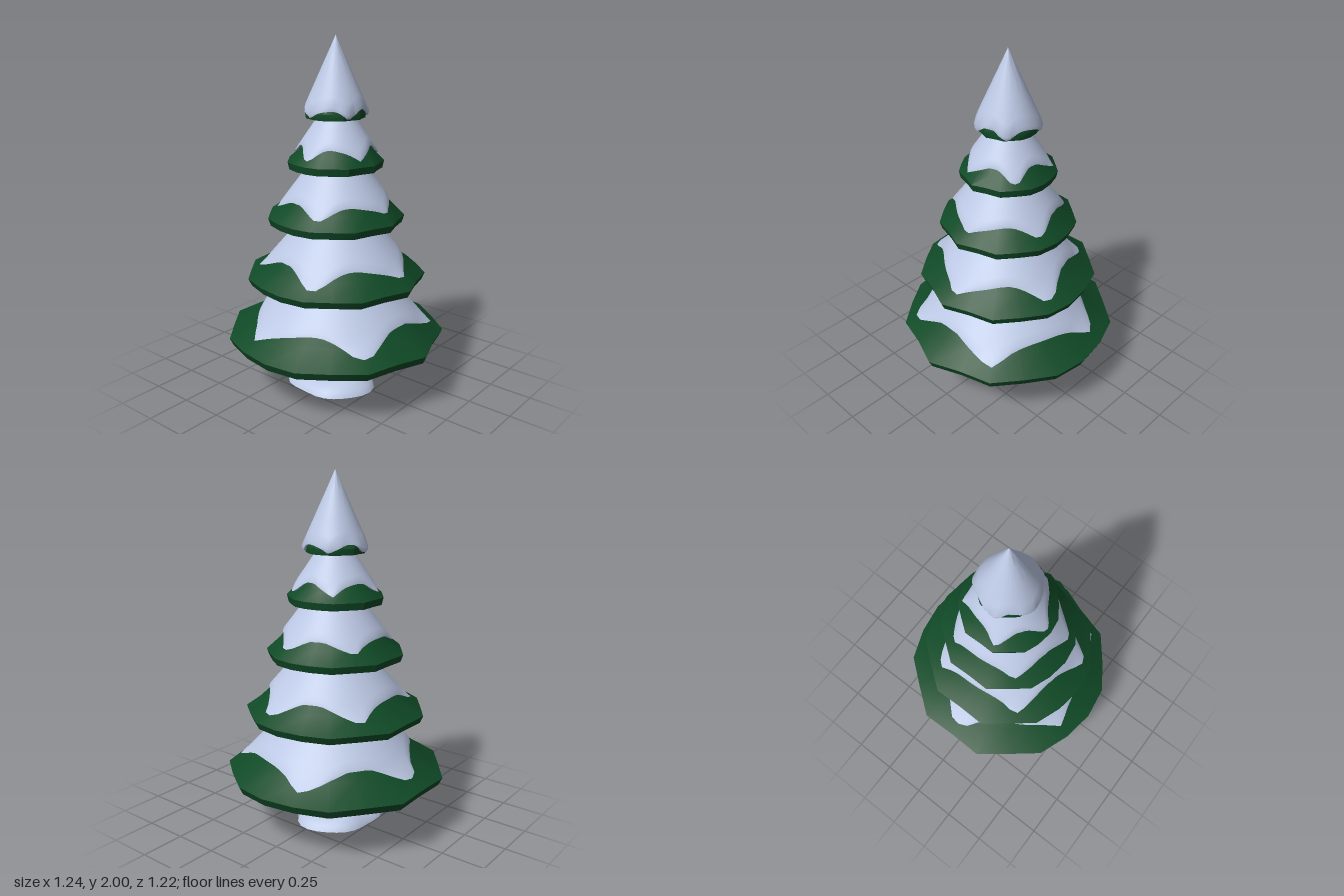
import * as THREE from 'three';
import { toCreasedNormals } from 'three/addons/utils/BufferGeometryUtils.js';

const { lerp, clamp, degToRad } = THREE.MathUtils;

const green = new THREE.MeshStandardMaterial({ name: 'needle green', color: 0x104a27 });
const snow = new THREE.MeshStandardMaterial({ name: 'snow', color: 0xbcc8e4, side: THREE.DoubleSide });
const bark = new THREE.MeshStandardMaterial({ name: 'bark brown', color: 0x4a2810 });
const darkBark = new THREE.MeshStandardMaterial({ name: 'dark bark', color: 0x2a0e08 });

// Skin a stack of rings, bottom to top; ring(angle, index) gives [radius, y]
function loft(ringCount, segments, ring, crease) {
  const pos = [], index = [];
  for (let i = 0; i < ringCount; i++) {
    for (let j = 0; j < segments; j++) {
      const a = (j / segments) * Math.PI * 2;
      const [r, y] = ring(a, i);
      pos.push(Math.cos(a) * r, y, Math.sin(a) * r);
      if (i === ringCount - 1) continue;
      const k = i * segments + j, n = i * segments + (j + 1) % segments;
      index.push(k, k + segments, n, n, k + segments, n + segments);
    }
  }
  const geo = new THREE.BufferGeometry();
  geo.setAttribute('position', new THREE.Float32BufferAttribute(pos, 3));
  geo.setIndex(index);
  return toCreasedNormals(geo, crease);
}

function add(parent, name, geo, material) {
  const mesh = new THREE.Mesh(geo, material);
  mesh.name = name;
  parent.add(mesh);
  return mesh;
}

// Irregular brim outline, every 18 degrees over half a turn, mirrored front to back
const outline = [1.01, 0.94, 1.0, 0.965, 1.005, 1.0, 1.0, 1.035, 1.0, 1.06, 1.0];
function brimFactor(a) {
  const s = (((a / (Math.PI * 2)) % 1 + 1) % 1) * 20;
  const at = (i) => outline[i % 20 > 10 ? 20 - (i % 20) : i % 20];
  return lerp(at(Math.floor(s)), at(Math.floor(s) + 1), s - Math.floor(s));
}

// rim, knee and top are [radius, y]; dip and peak bound the snow edge height
const tiers = [
  { x: -0.005, bottom: 0.285, rim: [0.612, 0.33], knee: [0.47, 0.42], top: [0.235, 0.67], dip: 0.38, peak: 0.46, phase: 180 },
  { x: -0.005, bottom: 0.64, rim: [0.498, 0.68], knee: [0.385, 0.76], top: [0.18, 1.0], dip: 0.725, peak: 0.8, phase: 68 },
  { x: -0.01, bottom: 0.98, rim: [0.378, 1.02], knee: [0.3, 1.09], top: [0.135, 1.31], dip: 1.07, peak: 1.125, phase: 68 },
  { x: -0.015, bottom: 1.29, rim: [0.264, 1.33], knee: [0.21, 1.385], top: [0.07, 1.59], dip: 1.36, peak: 1.42, phase: 90 },
  { x: -0.018, bottom: 1.565, rim: [0.166, 1.6], knee: [0.148, 1.64], top: [0.002, 1.97], dip: 1.575, peak: 1.62, phase: 100 },
];

// Radius of a tier's upper slope at angle a and height y
function slope(t, a, y) {
  if (y < t.knee[1]) {
    const v = clamp((y - t.rim[1]) / (t.knee[1] - t.rim[1]), 0, 1);
    return lerp(t.rim[0] * brimFactor(a), t.knee[0], v);
  }
  return lerp(t.knee[0], t.top[0], clamp((y - t.knee[1]) / (t.top[1] - t.knee[1]), 0, 1));
}

function buildTier(t, last) {
  const group = new THREE.Group();
  group.name = 'branchTier';
  group.position.x = t.x;

  // Green skirt: flat underside, slanted brim, then the slope
  add(group, 'branches', loft(5, 20, (a, i) => [
    [0.001, t.bottom + 0.01],
    [t.rim[0] * brimFactor(a) * 0.965, t.bottom],
    [t.rim[0] * brimFactor(a), t.rim[1]],
    t.knee,
    t.top,
  ][i], 0.6), green);

  // Snow cap: scalloped edge with pointed drips and a tucked-under lip
  const rings = 10, topY = last ? 2 : t.top[1];
  add(group, 'snowCap', loft(rings, 60, (a, i) => {
    const drip = 1 - Math.abs(Math.sin(2.5 * (a - degToRad(t.phase))));
    const wobble = 0.1 * Math.sin(a * 7 + t.phase);
    const edge = lerp(t.peak, t.dip, clamp(drip * 1.1 + wobble, 0, 1));
    if (i === 0) return [slope(t, a, edge) - 0.015, edge + 0.003];
    if (i === 1) return [slope(t, a, edge) + 0.01, edge];
    const y = lerp(edge + 0.02, topY, (i - 2) / (rings - 3));
    if (last && i === rings - 1) return [0.001, y];
    return [slope(t, a, y) + (last ? lerp(0.018, 0.011, i / rings) : 0.018), y];
  }, 1.0), snow);
  return group;
}

export function createModel() {
  const tree = new THREE.Group();
  tree.name = 'snowyTree';

  tiers.forEach((t, i) => tree.add(buildTier(t, i === tiers.length - 1)));

  // Trunk, flaring below the snow line
  const trunk = add(tree, 'trunk', new THREE.CylinderGeometry(0.06, 0.083, 0.24, 12, 1, true), bark);
  trunk.position.set(-0.018, 0.19, 0);
  const flare = add(tree, 'trunkFoot', new THREE.CylinderGeometry(0.084, 0.12, 0.08, 9), darkBark);
  flare.position.set(-0.018, 0.042, 0);

  // Lumpy snow mound around the foot
  const mound = [[0.11, 0.004], [0.25, 0], [0.232, 0.03], [0.185, 0.058], [0.12, 0.078], [0.09, 0.082], [0.072, 0.066]];
  const base = add(tree, 'snowMound', loft(mound.length, 28, (a, i) => {
    const [r, y] = mound[i];
    const lump = 1 + 0.06 * Math.sin(3 * a + 0.6) + 0.04 * Math.sin(5 * a + 2);
    return [i > 4 ? r : r * lump, i > 1 ? y * (1 + 0.06 * Math.sin(4 * a)) : y];
  }, 1.0), snow);
  base.position.set(-0.012, 0, 0.02);

  return tree;
}
